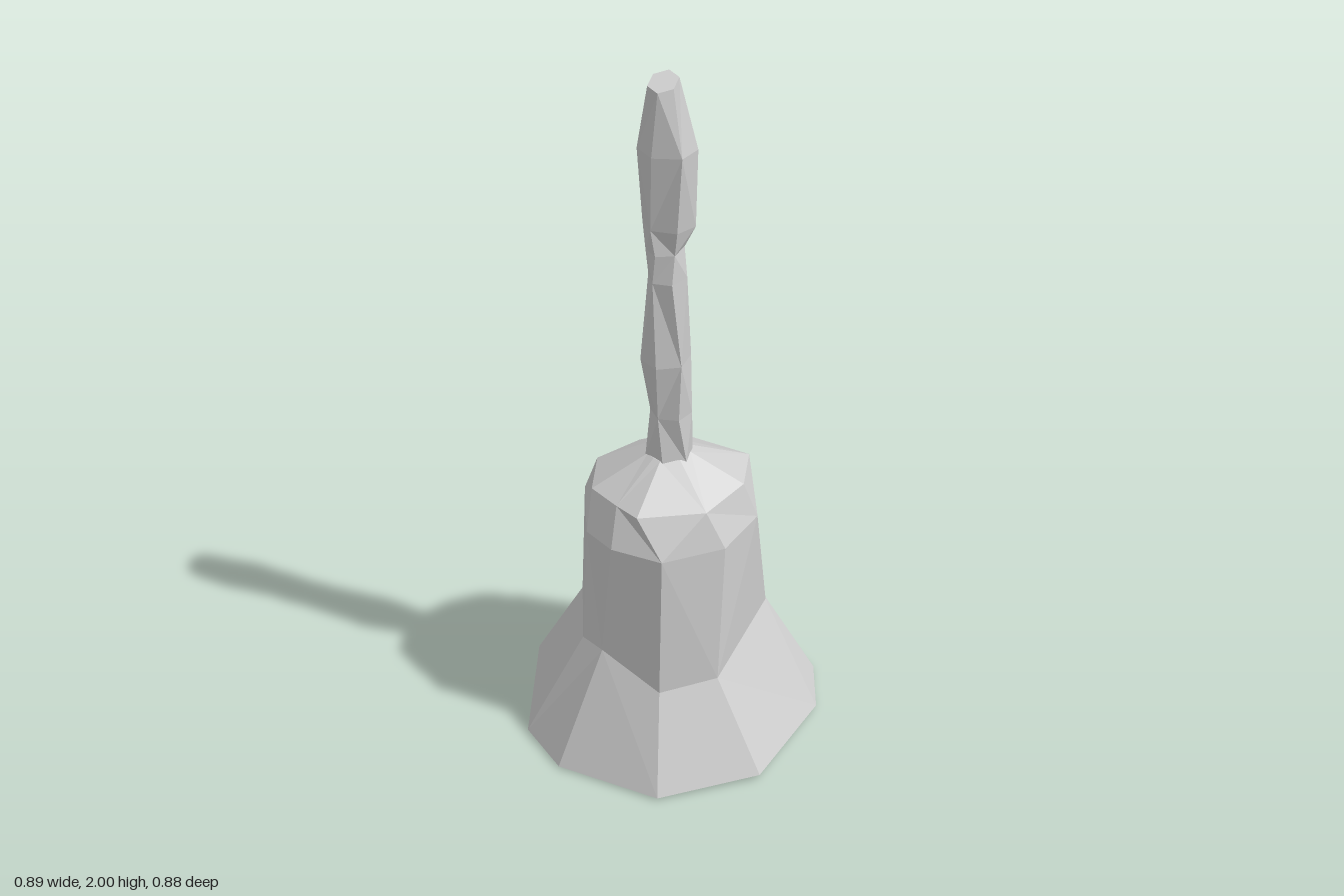
import * as THREE from 'three';

// Joins rings of [x, y, z] points (equal counts) into one faceted skin
function loft(rings, capTop) {
  const pos = [];
  const tri = (a, b, c) => pos.push(...a, ...b, ...c);
  for (let i = 0; i < rings.length - 1; i++) {
    const lo = rings[i], hi = rings[i + 1], n = lo.length;
    for (let j = 0; j < n; j++) {
      const k = (j + 1) % n;
      if ((i + j) % 2) {
        tri(lo[j], hi[j], lo[k]);
        tri(lo[k], hi[j], hi[k]);
      } else {
        tri(lo[j], hi[j], hi[k]);
        tri(lo[j], hi[k], lo[k]);
      }
    }
  }
  if (capTop) {
    const top = rings[rings.length - 1];
    for (let j = 1; j < top.length - 1; j++) tri(top[0], top[j + 1], top[j]);
  }
  const g = new THREE.BufferGeometry();
  g.setAttribute('position', new THREE.Float32BufferAttribute(pos, 3));
  g.computeVertexNormals();
  return g;
}

export function createModel() {
  const group = new THREE.Group();
  const metal = new THREE.MeshStandardMaterial({ color: 0xcccccc, flatShading: true, side: THREE.DoubleSide });
  metal.name = 'pale grey';
  const add = (name, geometry) => {
    const mesh = new THREE.Mesh(geometry, metal);
    mesh.name = name;
    group.add(mesh);
    return mesh;
  };

  // Bell: uneven nine-sided sections, each point [x, z] or [x, z, own height]
  const sections = [
    [0.005, [[0.13, -0.44, 0.015], [0.40, -0.22, 0.015], [0.445, -0.05, 0.015], [0.35, 0.28, 0.015], [0.09, 0.44],
      [-0.22, 0.395], [-0.355, 0.28, 0.01], [-0.45, -0.095, 0], [-0.26, -0.385]]],
    [0.34, [[0, -0.295], [0.2, -0.2], [0.265, -0.11], [0.2, 0.2, 0.28], [0.055, 0.295, 0.27],
      [-0.13, 0.24], [-0.2, 0.2], [-0.3, -0.095, 0.27], [-0.2, -0.245]]],
    [0.7, [[0, -0.25], [0.2, -0.165], [0.25, -0.03], [0.2, 0.14], [0.05, 0.25],
      [-0.1, 0.23], [-0.19, 0.17], [-0.26, -0.03], [-0.17, -0.2]]],
    [0.81, [[-0.04, -0.215], [0.19, -0.165], [0.21, -0.02], [0.145, 0.14], [-0.03, 0.215],
      [-0.1, 0.175], [-0.19, 0.115], [-0.22, -0.03], [-0.13, -0.15]]],
  ];
  const bell = sections.map(([y, pts]) => pts.map(([x, z, own]) => [x, own ?? y, z]));
  // Crown closes in towards the handle
  bell.push(bell[3].map(([x, , z]) => {
    const s = 0.06 / Math.hypot(x, z);
    return [x * s, 0.9, z * s];
  }));
  add('bellBody', loft(bell, true));

  // Handle: six-sided sections [y, xMin, xMax, zMin, zMax, turn]
  const grip = [
    [0.89, -0.065, 0.065, -0.065, 0.065, 0],
    [1.03, -0.05, 0.06, -0.06, 0.055, 0.4],
    [1.2, -0.075, 0.055, -0.075, 0.07, 0.1],
    [1.45, -0.055, 0.045, -0.068, 0.06, 0.5],
    [1.53, -0.06, 0.035, -0.065, 0.055, 0.2],
    [1.6, -0.07, 0.065, -0.07, 0.055, 0.5],
    [1.81, -0.08, 0.068, -0.075, 0.065, 0.3],
    [1.99, -0.052, 0.022, -0.052, 0.052, 0],
  ].map(([y, x0, x1, z0, z1, turn]) => Array.from({ length: 6 }, (_, j) => {
    const a = j * Math.PI / 3 + turn;
    return [
      (x0 + x1) / 2 + Math.sin(a) * (x1 - x0) / 2 * 1.05,
      y + (y > 1.9 ? 0.01 * Math.cos(a) : 0),
      (z0 + z1) / 2 - Math.cos(a) * (z1 - z0) / 2,
    ];
  }));
  add('handle', loft(grip, true));

  // Clapper hanging inside
  add('clapperRod', new THREE.CylinderGeometry(0.025, 0.03, 0.66, 5)).position.y = 0.55;
  const ball = add('clapperBall', new THREE.SphereGeometry(0.1, 7, 4));
  ball.position.y = 0.19;

  return group;
}
